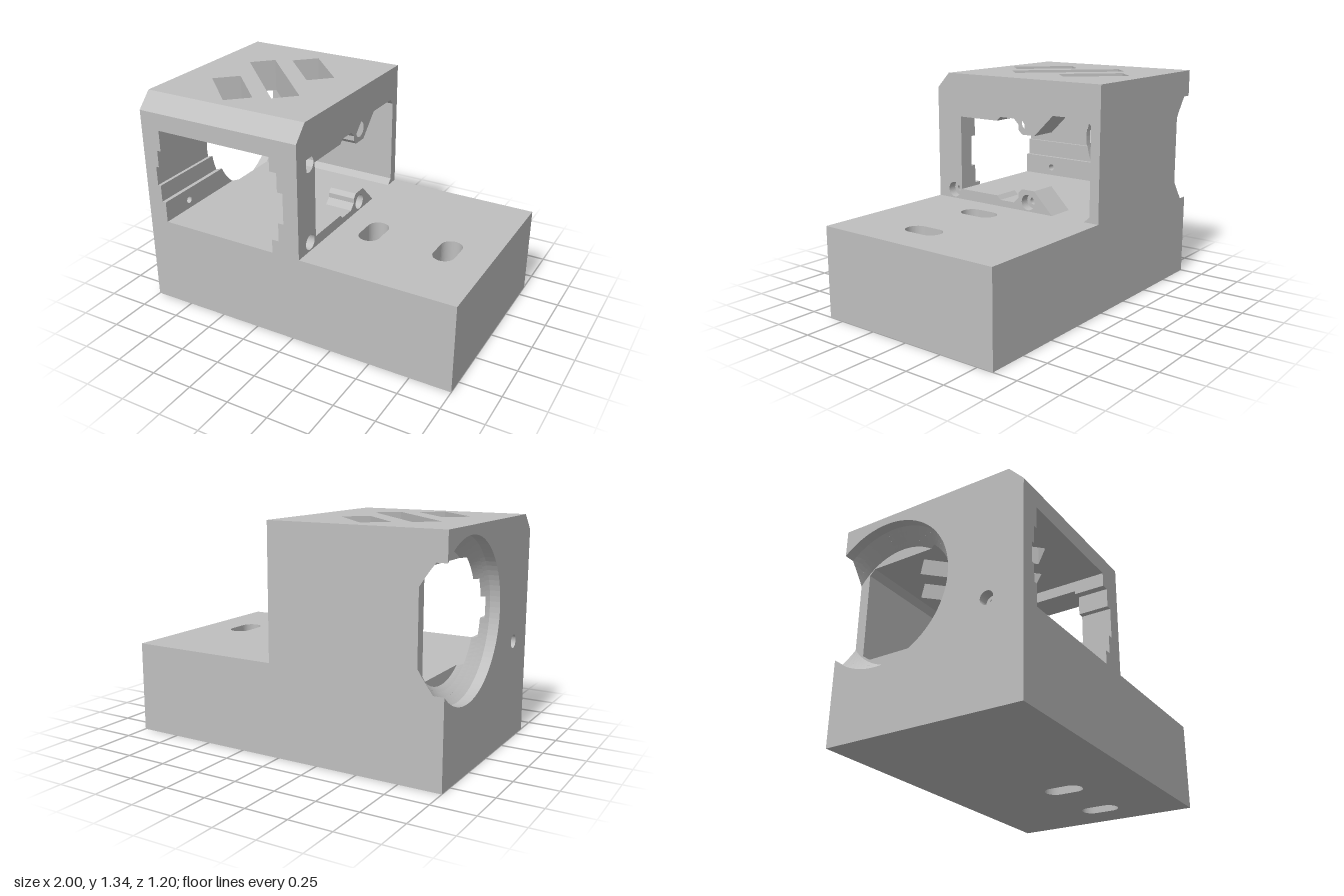
import * as THREE from 'three';

const MID = 0.84, FLOOR = 0.545, CEIL = 1.135, TOP = 1.335; // cavity is symmetric about MID
const mirror = (pts) => pts.map(([u, y]) => [u, 2 * MID - y]);

function circlePath(u, y, r) {
  const p = new THREE.Path();
  p.absarc(u, y, r, 0, Math.PI * 2, true);
  return p;
}
const polygon = (Type, pts) => new Type(pts.map(([a, b]) => new THREE.Vector2(a, b)));

export function createModel() {
  const group = new THREE.Group();
  const grey = new THREE.MeshStandardMaterial({ color: 0xbfbfbf });
  grey.name = 'grey plastic';

  function add(name, geometry) {
    const mesh = new THREE.Mesh(geometry, grey);
    mesh.name = name;
    group.add(mesh);
  }

  // Slab along x from a side profile of [u, y], where u = -z.
  // endPts, if given, replaces the profile at the far end to make a taper.
  function sideSlab(name, pts, x0, x1, holes = [], endPts = null) {
    const shape = polygon(THREE.Shape, pts);
    shape.holes.push(...holes);
    const g = new THREE.ExtrudeGeometry(shape, { depth: x1 - x0, bevelEnabled: false, curveSegments: 20 });
    if (endPts) {
      const pos = g.attributes.position;
      for (let i = 0; i < pos.count; i++) {
        if (pos.getZ(i) < (x1 - x0) / 2) continue;
        const k = pts.findIndex(([u, y]) => Math.hypot(u - pos.getX(i), y - pos.getY(i)) < 1e-4);
        if (k >= 0) pos.setXY(i, endPts[k][0], endPts[k][1]);
      }
      g.computeVertexNormals();
    }
    g.rotateY(Math.PI / 2);
    g.translate(x0, 0, 0);
    add(name, g);
  }

  // Slab along y from a plan outline of [x, -z]
  function planSlab(name, pts, y0, y1, holes) {
    const shape = polygon(THREE.Shape, pts);
    shape.holes.push(...holes);
    const g = new THREE.ExtrudeGeometry(shape, { depth: y1 - y0, bevelEnabled: false, curveSegments: 16 });
    g.rotateX(-Math.PI / 2);
    g.translate(0, y0, 0);
    add(name, g);
  }

  // Base with two rounded slots
  const slots = [0.265, 0.735].map((x) => {
    const p = new THREE.Path();
    p.absarc(x, -0.045 + -0.11, 0.065, Math.PI, 2 * Math.PI, false);
    p.absarc(x, -0.045, 0.065, 0, Math.PI, false);
    p.closePath();
    return p;
  });
  planSlab('base', [[-0.85, -0.6], [1, -0.6], [1, 0.6], [-0.85, 0.6]], 0, FLOOR, slots);

  // Roof with three diagonal vents, and its chamfered front edge
  const vents = [
    [[-0.45, 0.48], [-0.57, 0.36], [-0.29, 0.075], [-0.17, 0.195]],
    [[-0.67, 0.315], [-0.785, 0.2], [-0.3, -0.29], [-0.185, -0.175]],
    [[-0.68, -0.05], [-0.8, -0.17], [-0.52, -0.445], [-0.4, -0.33]],
  ].map((pts) => polygon(THREE.Path, pts));
  planSlab('roof', [[-0.85, -0.51], [-0.12, -0.51], [-0.12, 0.6], [-0.85, 0.6]], CEIL, TOP, vents);
  sideSlab('roofFrontEdge', [[-0.6, CEIL], [-0.51, CEIL], [-0.51, TOP], [-0.6, 1.24]], -0.85, -0.12);

  // Back wall with chamfered inner corners
  sideSlab('backWall', [[0.505, FLOOR], [0.6, FLOOR], [0.6, CEIL], [0.505, CEIL], [0.54, 1.1], [0.54, 0.58]],
    -0.85, -0.12);

  // Wall at -x: round opening that breaks through the back, stepped grooves at the front
  const CU = 0.305;
  const arc = (r, half) => {
    const a0 = -Math.acos((0.6 - CU) / r), a1 = -Math.PI + Math.asin(half / r);
    return Array.from({ length: 33 }, (_, i) => {
      const a = a0 + ((a1 - a0) * i) / 32;
      return [CU + r * Math.cos(a), MID + r * Math.sin(a)];
    });
  };
  const roundLower = (r, half) => [[-0.6, 0], [0.6, 0], ...arc(r, half), [-0.6, MID - half]];
  const roundUpper = (r, half) =>
    [[-0.6, 1.24], [-0.51, TOP], [0.6, TOP], ...mirror(arc(r, half)), [-0.6, MID + half]];
  const radiusAt = (x) => 0.445 - Math.max(0, (x + 0.94) / 0.09) * 0.085;
  const steps = [[-1, -0.94, 0], [-0.94, -0.92, 0], [-0.92, -0.9, 0.06], [-0.9, -0.875, 0.165], [-0.875, -0.85, 0.295]];
  for (const [x0, x1, half] of steps) {
    const r0 = radiusAt(x0), r1 = radiusAt(x1);
    const hole = (y) => (half < 0.2 ? [circlePath(-0.385, y, x0 === -1 ? 0.04 : 0.022)] : []);
    sideSlab('roundWallLower', roundLower(r0, half), x0, x1, hole(0.6), roundLower(r1, half));
    sideSlab('roundWallUpper', roundUpper(r0, half), x0, x1, hole(1.08), roundUpper(r1, half));
  }

  // Wall beside the base deck: shaped opening with screw lugs, counterbored holes
  const opening = [
    [0.6, MID], [0.54, MID], [0.54, 0.58], [0.505, FLOOR], [0.28, FLOOR], [0.15, 0.675], [0.06, 0.675],
    [0.035, 0.65], [0.035, 0.62], [0, 0.585], [-0.105, 0.585], [-0.13, 0.61], [-0.415, 0.61],
  ];
  const walls = [[-0.12, -0.075, 0.21, 0.022], [-0.075, -0.04, 0.095, 0.022], [-0.04, 0, 0, 0.022], [0, 0.055, 0, 0.047]];
  for (const [x0, x1, half, r] of walls) {
    const edge = [...opening, [-0.415, MID - half], [-0.6, MID - half]];
    const holes = (y) => [circlePath(-0.475, y, r), circlePath(0.105, y, r)];
    sideSlab('lugWallLower', [[-0.6, 0.54], [0.6, 0.54], ...edge], x0, x1, holes(0.6));
    sideSlab('lugWallUpper', [[-0.6, 1.24], [-0.51, TOP], [0.6, TOP], ...mirror(edge)], x0, x1, holes(1.08));
  }

  return group;
}
